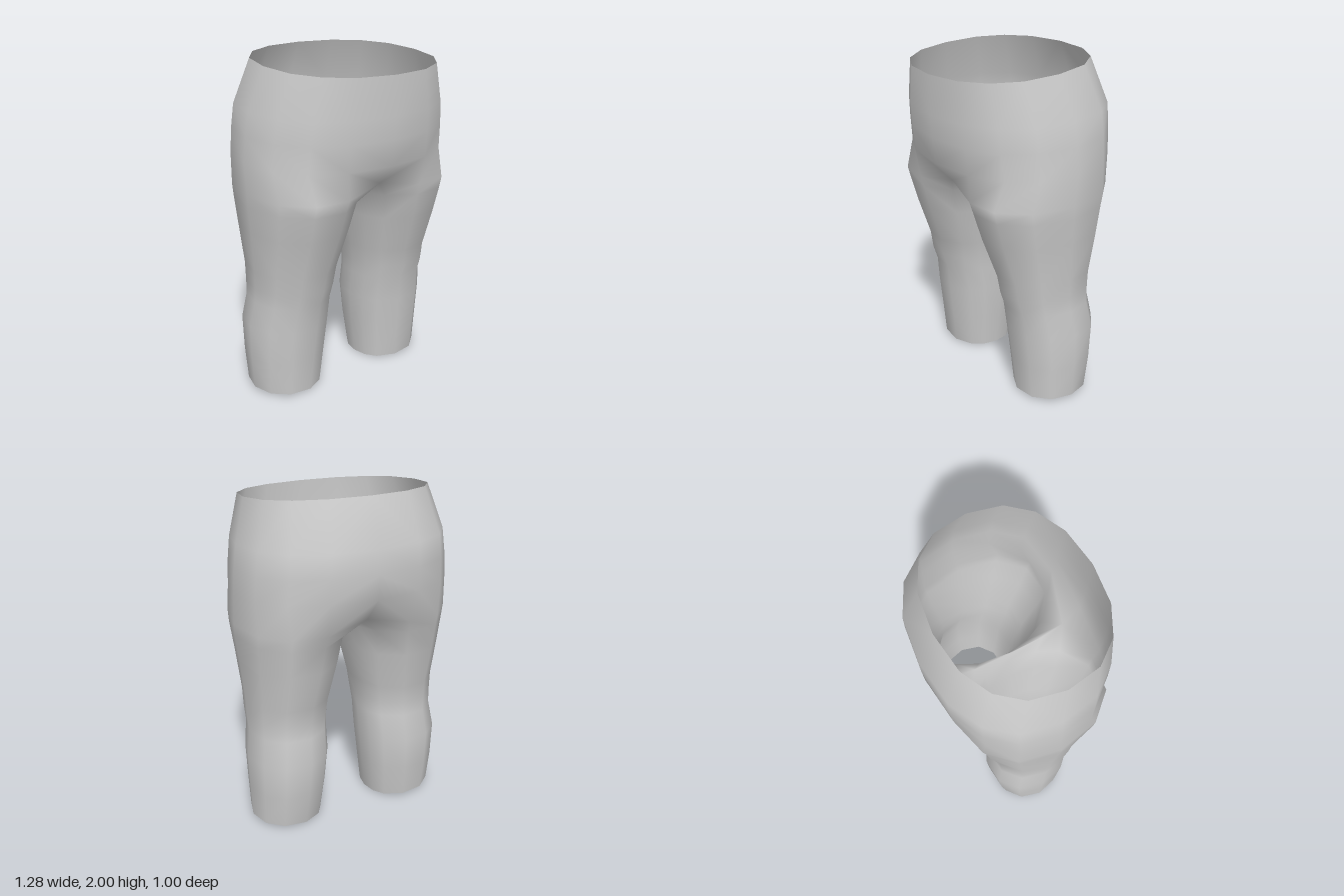
import * as THREE from 'three';
import { mergeVertices } from 'three/addons/utils/BufferGeometryUtils.js';

const SIDES = 12; // points round one leg
const OUTER = 8; // columns 0..8 run front centre -> hip -> back centre; 9..11 are the inseam

// leg rings from hem to crotch: [y, inner x, outer x, front z, back z]
const LEG = [
  [0.015, 0.175, 0.605, 0.165, -0.267],
  [0.22, 0.15, 0.615, 0.187, -0.3],
  [0.43, 0.13, 0.62, 0.212, -0.317],
  [0.59, 0.128, 0.597, 0.232, -0.287],
  [0.68, 0.12, 0.6, 0.262, -0.29],
  [0.79, 0.105, 0.602, 0.28, -0.3],
  [1.03, 0.055, 0.622, 0.365, -0.362],
  [1.19, 0.022, 0.64, 0.412, -0.39],
];

// hip and waist rings: [front y, back y, half width, front z, back z]
const HIPS = [
  [1.42, 1.46, 0.642, 0.472, -0.49],
  [1.57, 1.6, 0.63, 0.488, -0.497],
  [1.7, 1.74, 0.61, 0.5, -0.497],
  [1.92, 2.0, 0.537, 0.497, -0.393],
];

const power = (v, p) => Math.sign(v) * Math.abs(v) ** p;

function legAngle(j) {
  const deg = j <= OUTER ? -45 + 33.75 * j : 225 + 22.5 * (j - OUTER);
  return THREE.MathUtils.degToRad(deg);
}

function legRing([y, xi, xo, zf, zb]) {
  return Array.from({ length: SIDES }, (_, j) => {
    const a = legAngle(j);
    const x = (xi + xo) / 2 + (xo - xi) / 2 * power(Math.sin(a), 0.93);
    const z = (zf + zb) / 2 + (zf - zb) / 2 * power(Math.cos(a), 0.93);
    return [x, y < 0.1 ? 0.045 * (x - 0.175) : y, z];
  });
}

// ring where the leg meets the seat; its inner points lie on the centre seam
function crotchRing() {
  const ring = legRing([1.26, 0.01, 0.642, 0.432, -0.41]);
  ring[0] = [0, 1.3, 0.37];
  ring[OUTER] = [0, 1.31, -0.37];
  ring[9] = [0, 1.255, -0.2];
  ring[10] = [0, 1.24, 0.05];
  ring[11] = [0, 1.25, 0.24];
  return ring;
}

function hipRing([yf, yb, w, zf, zb]) {
  return Array.from({ length: OUTER + 1 }, (_, j) => {
    const a = Math.PI * j / OUTER;
    const c = j === OUTER / 2 ? 0 : power(Math.cos(a), 0.85);
    const s = j % OUTER ? Math.sin(a) ** 0.88 : 0;
    return [w * s, (yf + yb) / 2 + (yf - yb) / 2 * c, (zf + zb) / 2 + (zf - zb) / 2 * c];
  });
}

function trouserGeometry() {
  const rings = [...LEG.map(legRing), crotchRing(), ...HIPS.map(hipRing)];
  const starts = [];
  const half = [];
  rings.forEach((ring) => { starts.push(half.length); half.push(...ring); });

  // left half, then its mirror with reversed winding
  const n = half.length;
  const positions = [...half, ...half.map(([x, y, z]) => [-x, y, z])].flat();
  const index = [];
  for (let i = 0; i < rings.length - 1; i++) {
    const columns = i < LEG.length ? SIDES : OUTER;
    for (let j = 0; j < columns; j++) {
      const k = (j + 1) % SIDES;
      const a = starts[i] + j, b = starts[i] + k;
      const c = starts[i + 1] + k, d = starts[i + 1] + j;
      index.push(a, b, c, a, c, d);
      index.push(n + a, n + c, n + b, n + a, n + d, n + c);
    }
  }
  const geometry = new THREE.BufferGeometry();
  geometry.setAttribute('position', new THREE.Float32BufferAttribute(positions, 3));
  geometry.setIndex(index);
  const welded = mergeVertices(geometry, 1e-4); // joins the halves along the centre seam
  welded.computeVertexNormals();
  return welded;
}

export function createModel() {
  const model = new THREE.Group();
  model.name = 'trousersModel';
  const cloth = new THREE.MeshStandardMaterial({ color: 0xcccccc, side: THREE.DoubleSide });
  const trousers = new THREE.Mesh(trouserGeometry(), cloth);
  trousers.name = 'trousers';
  model.add(trousers);
  return model;
}
